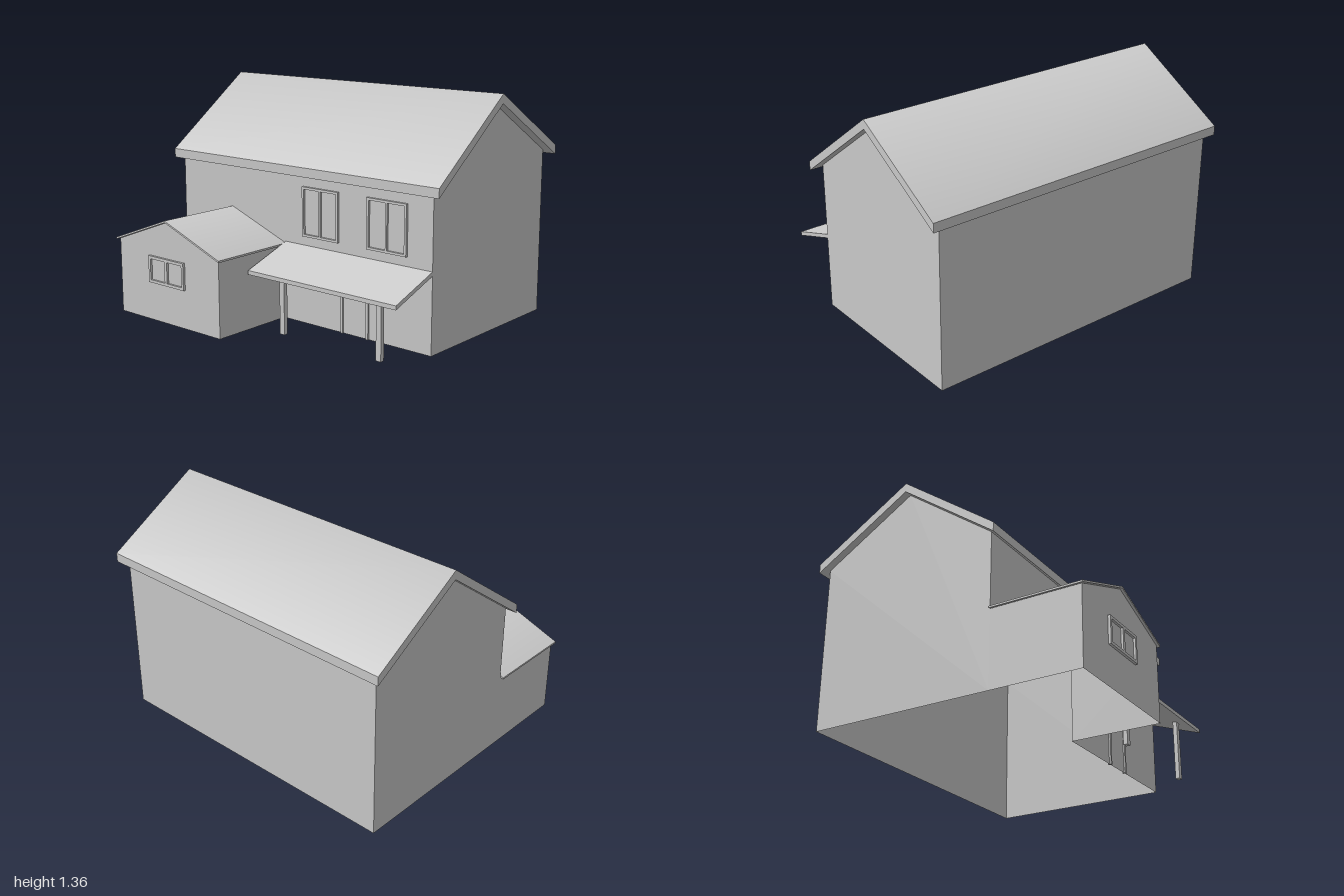
import * as THREE from 'three';

const solid = new THREE.MeshStandardMaterial({ color: 0xcccccc });
const thin = new THREE.MeshStandardMaterial({ color: 0xcccccc, side: THREE.DoubleSide });

const outline = (pts) => new THREE.Shape(pts.map(([x, y]) => new THREE.Vector2(x, y)));
const rect = (x0, y0, x1, y1) => [[x0, y0], [x1, y0], [x1, y1], [x0, y1]];

function add(parent, name, geometry, material = solid) {
  const mesh = new THREE.Mesh(geometry, material);
  mesh.name = name;
  parent.add(mesh);
  return mesh;
}

// Thin wall in the XY plane, with optional openings
function wall(parent, name, pts, z, holes = []) {
  const shape = outline(pts);
  holes.forEach((h) => shape.holes.push(outline(h)));
  const mesh = add(parent, name, new THREE.ShapeGeometry(shape), thin);
  mesh.position.z = z;
  return mesh;
}

// Thin wall facing sideways; points are [z, y]
function sideWall(parent, name, pts, x) {
  const mesh = wall(parent, name, pts, 0);
  mesh.rotation.y = -Math.PI / 2;
  mesh.position.x = x;
}

// Pitched slab: top points minus a vertical thickness, softened at the ridge
function roofSlab(top, thickness, length) {
  const under = top.map(([x, y]) => [x, y - thickness]).reverse();
  const geo = new THREE.ExtrudeGeometry(outline([...top, ...under]), { depth: length, bevelEnabled: false });
  if (top.length < 3) return geo;
  const [a, r, b] = top;
  const nA = new THREE.Vector2(a[1] - r[1], r[0] - a[0]).normalize();
  const nB = new THREE.Vector2(r[1] - b[1], b[0] - r[0]).normalize();
  const n = nA.add(nB).normalize();
  if (n.y < 0) n.negate();
  const p = geo.attributes.position, norm = geo.attributes.normal;
  for (let i = 0; i < p.count; i++) {
    const ny = norm.getY(i);
    if (Math.abs(p.getX(i) - r[0]) < 1e-4 && Math.abs(ny) > 0.3) {
      const s = Math.sign(ny);
      norm.setXYZ(i, n.x * s, n.y * s, 0);
    }
  }
  return geo;
}

// Two-pane window: frame with centre bar, glass set inside
function windowUnit(parent, name, [x0, y0, x1, y1], z, border, bar) {
  const g = new THREE.Group();
  g.name = name;
  parent.add(g);
  const mid = (x0 + x1) / 2;
  const shape = outline(rect(x0, y0, x1, y1));
  shape.holes.push(outline(rect(x0 + border, y0 + border, mid - bar / 2, y1 - border)));
  shape.holes.push(outline(rect(mid + bar / 2, y0 + border, x1 - border, y1 - border)));
  const frame = new THREE.ExtrudeGeometry(shape, { depth: 0.025, bevelEnabled: false });
  add(g, 'windowFrame', frame.translate(0, 0, z - 0.01));
  wall(g, 'windowGlass', rect(x0 + border / 2, y0 + border / 2, x1 - border / 2, y1 - border / 2), z + 0.002);
}

const inset = ([x0, y0, x1, y1], d) => rect(x0 + d, y0 + d, x1 - d, y1 - d);

export function createModel() {
  const house = new THREE.Group();
  house.name = 'house';
  const L = -0.955, R = 0.94, F = 0.3, B = -0.8;
  const wingR = -0.12, wingF = 0.83, wingMid = -0.54, wingEave = 0.45, wingTop = 0.605;
  const upper = [[0.035, 0.52, 0.3, 0.81], [0.505, 0.52, 0.775, 0.81]];
  const wingWin = [-0.69, 0.23, -0.395, 0.39];

  // Main walls, open below; the front opens into the wing
  wall(house, 'mainFrontWall', [
    [wingR, 0], [R, 0], [R, 0.903], [L, 0.903], [L, wingEave], [wingMid, wingTop], [wingR, wingEave],
  ], F, [...upper.map((w) => inset(w, 0.006)), rect(0.327, 0.004, 0.508, 0.32)]);
  wall(house, 'mainBackWall', rect(L, 0, R, 0.98), B);
  const gable = [[F, 0], [F, 0.903], [-0.25, 1.308], [B, 0.98], [B, 0]];
  sideWall(house, 'leftGableWall', gable, R);
  sideWall(house, 'rightGableWall', gable, L);

  // Main roof
  const mainRoof = roofSlab([[0.34, 0.925], [-0.25, 1.36], [-0.84, 1.01]], 0.054, 2);
  add(house, 'mainRoof', mainRoof.rotateY(-Math.PI / 2).translate(1, 0, 0));

  // Front wing
  wall(house, 'wingFrontWall', [
    [L, 0], [wingR, 0], [wingR, wingEave], [wingMid, wingTop], [L, wingEave],
  ], wingF, [inset(wingWin, 0.006)]);
  for (const [name, x] of [['wingLeftWall', wingR], ['wingRightWall', L]]) {
    sideWall(house, name, rect(F, 0, wingF, wingEave), x);
  }
  const wingRoof = roofSlab([[-0.975, 0.455], [wingMid, 0.617], [-0.105, 0.455]], 0.011, 0.545);
  add(house, 'wingRoof', wingRoof.translate(0, 0, F));

  // Windows
  upper.forEach((w) => windowUnit(house, 'upperWindow', w, F, 0.014, 0.012));
  windowUnit(house, 'wingWindow', wingWin, wingF, 0.017, 0.02);

  // Door and its frame
  const doorFrame = outline([
    [0.318, 0], [0.335, 0], [0.335, 0.316], [0.5, 0.316], [0.5, 0], [0.517, 0], [0.517, 0.332], [0.318, 0.332],
  ]);
  add(house, 'doorFrame', new THREE.ExtrudeGeometry(doorFrame, { depth: 0.02, bevelEnabled: false })
    .translate(0, 0, F - 0.01));
  wall(house, 'door', rect(0.327, 0.002, 0.508, 0.324), F + 0.001);

  // Porch roof and posts
  const porch = roofSlab([[0.615, 0.355], [F, 0.466]], 0.024, R + 0.105);
  add(house, 'porchRoof', porch.rotateY(-Math.PI / 2).translate(R, 0, 0));
  for (const x of [0.086, 0.773]) {
    add(house, 'porchPost', new THREE.BoxGeometry(0.034, 0.362, 0.026).translate(x, 0.181, 0.53));
  }
  return house;
}
